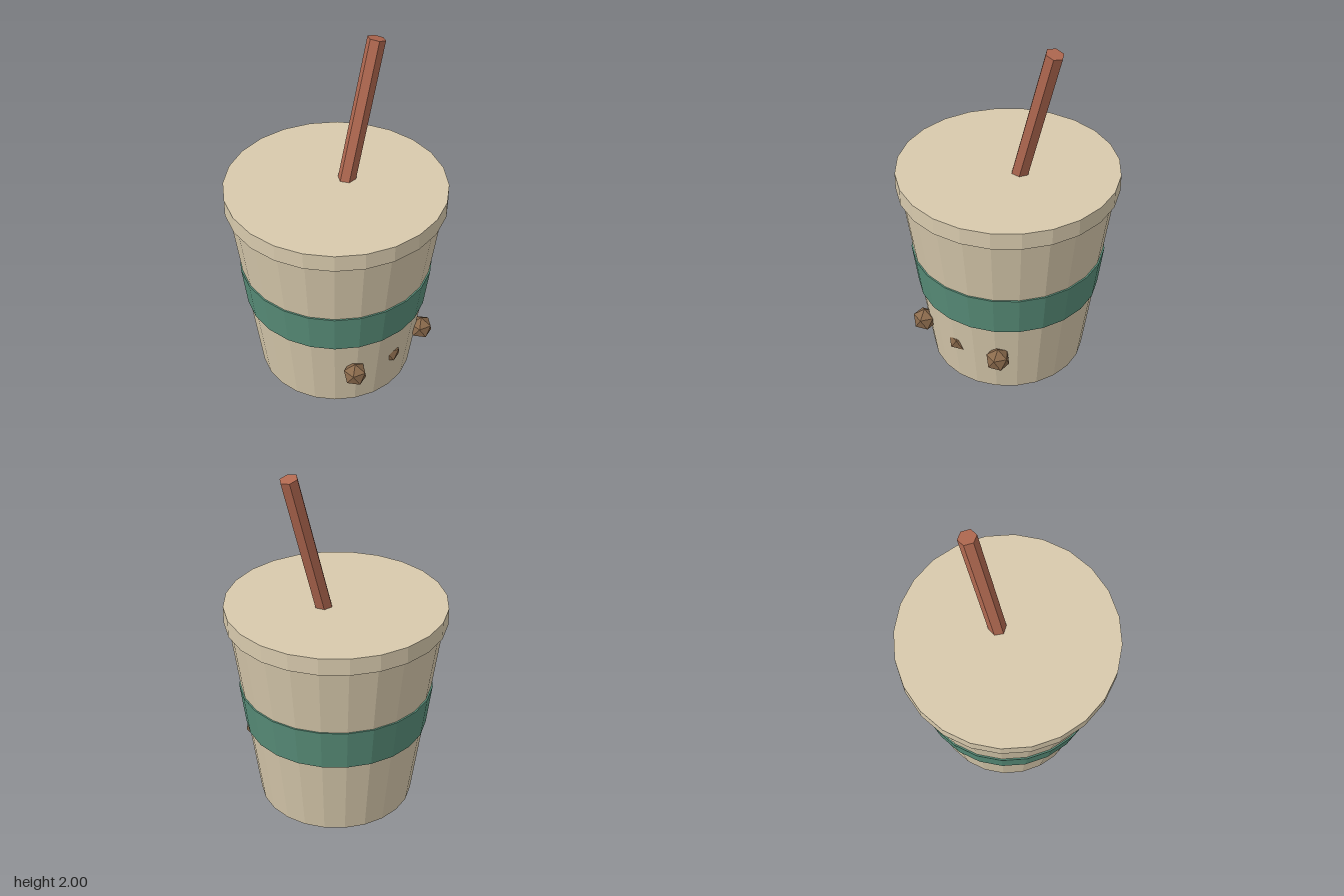
import * as THREE from 'three';

function mat(name, color) {
  const m = new THREE.MeshStandardMaterial({ color, flatShading: true });
  m.name = name;
  return m;
}

export function createModel() {
  const group = new THREE.Group();
  const cream = mat('cream', 0xd8caad);
  const green = mat('green', 0x598f7a);
  const terracotta = mat('terracotta', 0xb06850);
  const brown = mat('brown', 0x8a6a4c);

  const add = (name, geometry, material, x, y, z) => {
    const mesh = new THREE.Mesh(geometry, material);
    mesh.name = name;
    mesh.position.set(x, y, z);
    group.add(mesh);
    return mesh;
  };

  // Upright tapered 24-sided solid between two heights
  const ring = (name, material, rBottom, rTop, y0, y1) =>
    add(name, new THREE.CylinderGeometry(rTop, rBottom, y1 - y0, 24), material, 0, (y0 + y1) / 2, 0);

  ring('cup', cream, 0.44, 0.592, 0, 1.13);
  ring('sleeveBand', green, 0.515, 0.545, 0.475, 0.715);
  ring('lid', cream, 0.612, 0.612, 1.115, 1.212);

  // Hexagonal straw leaning towards +x, pushed through the lid
  const tilt = THREE.MathUtils.degToRad(15);
  const length = 1.0;
  const strawGeometry = new THREE.CylinderGeometry(0.05, 0.05, length, 6);
  strawGeometry.rotateY(Math.PI / 2);
  const straw = add('straw', strawGeometry, terracotta,
    0.292 - Math.sin(tilt) * length / 2, 1.987 - Math.cos(tilt) * length / 2, 0);
  straw.rotation.z = -tilt;

  // Pearls: icosahedra standing on a vertex, made from two staggered rings of five
  const r = 0.07;
  const points = [0, r, 0];
  for (const [h, start] of [[1, 0], [-1, Math.PI / 5]]) {
    for (let i = 0; i < 5; i++) {
      const a = start + i * Math.PI * 2 / 5;
      points.push(Math.cos(a) * r * 0.8944, h * r * 0.4472, -Math.sin(a) * r * 0.8944);
    }
  }
  points.push(0, -r, 0);
  const faces = [];
  for (let i = 0; i < 5; i++) {
    const u = 1 + i, un = 1 + (i + 1) % 5, l = 6 + i, ln = 6 + (i + 1) % 5;
    faces.push(0, u, un, u, l, un, l, ln, un, 11, ln, l);
  }
  const pearlGeometry = new THREE.BufferGeometry();
  pearlGeometry.setAttribute('position', new THREE.Float32BufferAttribute(points, 3));
  pearlGeometry.setIndex(faces);
  const pearl = pearlGeometry.toNonIndexed();
  pearl.computeVertexNormals();
  for (const x of [-0.27, 0, 0.27]) add('pearl', pearl, brown, x, 0.27, 0.43);

  return group;
}
